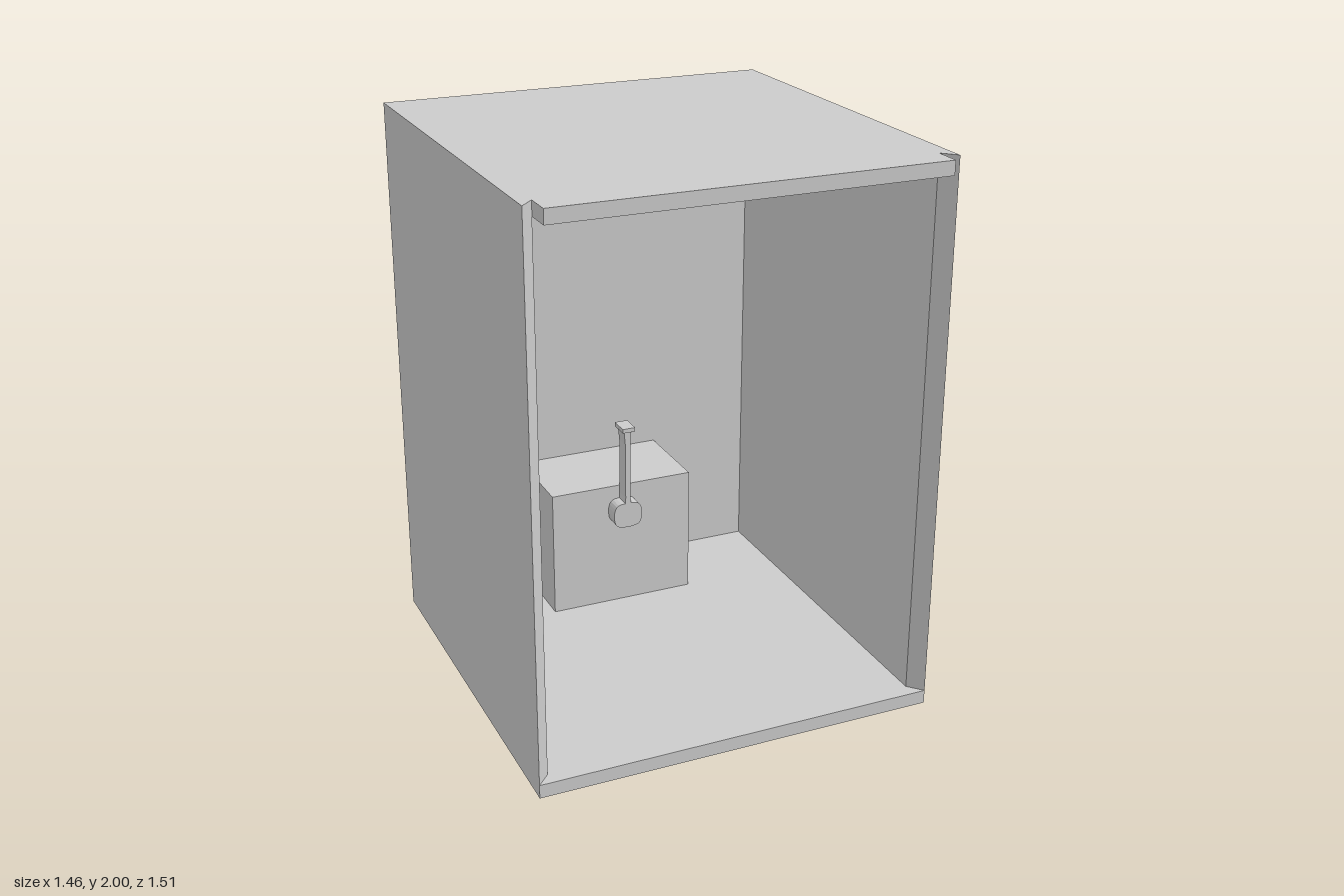
import * as THREE from 'three';

const material = new THREE.MeshStandardMaterial({ color: 0xcccccc, flatShading: true });

function addMesh(group, name, geometry) {
  const mesh = new THREE.Mesh(geometry, material);
  mesh.name = name;
  group.add(mesh);
  return mesh;
}

// Box given by its minimum and maximum corners
function addBox(group, name, [x0, y0, z0], [x1, y1, z1]) {
  const mesh = addMesh(group, name, new THREE.BoxGeometry(x1 - x0, y1 - y0, z1 - z0));
  mesh.position.set((x0 + x1) / 2, (y0 + y1) / 2, (z0 + z1) / 2);
}

const W = 0.73, IN = 0.683, BACK = -0.755, FRONT = 0.707, T = 0.05;

export function createModel() {
  const model = new THREE.Group();
  model.name = 'openRoom';

  // Shell: floor, back wall and a roof that overhangs the opening
  addBox(model, 'floor', [-W, 0, BACK], [W, T, FRONT]);
  addBox(model, 'backWall', [-IN, T, BACK], [IN, 2 - T, BACK + T]);
  addBox(model, 'roof', [-IN, 2 - T, BACK], [IN, 2, 0.755]);

  // Side walls with mitred front edges
  for (const [name, s] of [['leftWall', 1], ['rightWall', -1]]) {
    const plan = new THREE.Shape([
      new THREE.Vector2(s * W, -BACK),
      new THREE.Vector2(s * W, -FRONT),
      new THREE.Vector2(s * IN, -FRONT + T),
      new THREE.Vector2(s * IN, -BACK),
    ]);
    const wall = new THREE.ExtrudeGeometry(plan, { depth: 2 - T, bevelEnabled: false });
    wall.rotateX(-Math.PI / 2).translate(0, T, 0);
    addMesh(model, name, wall);
  }

  // Block standing against the back wall
  addBox(model, 'block', [-0.275, T, BACK + T], [0.29, 0.54, -0.36]);

  // Long-necked ornament on the front of the block
  const ornament = new THREE.Group();
  ornament.name = 'ornament';
  ornament.position.set(0.009, 0, -0.36);
  model.add(ornament);

  const outline = new THREE.Shape();
  outline.moveTo(0, 0.386);
  outline.lineTo(0.03, 0.39);
  outline.bezierCurveTo(0.05, 0.393, 0.057, 0.41, 0.057, 0.438);
  outline.bezierCurveTo(0.057, 0.475, 0.045, 0.487, 0.012, 0.487);
  outline.lineTo(0.01, 0.51);
  outline.lineTo(0.01, 0.73);
  outline.lineTo(0.015, 0.785);
  outline.lineTo(-0.015, 0.785);
  outline.lineTo(-0.01, 0.73);
  outline.lineTo(-0.01, 0.51);
  outline.lineTo(-0.012, 0.487);
  outline.bezierCurveTo(-0.045, 0.487, -0.057, 0.475, -0.057, 0.438);
  outline.bezierCurveTo(-0.057, 0.41, -0.05, 0.393, -0.03, 0.39);
  outline.closePath();
  addMesh(ornament, 'bodyAndNeck',
    new THREE.ExtrudeGeometry(outline, { depth: 0.06, bevelEnabled: false, curveSegments: 6 }));
  addBox(ornament, 'cap', [-0.025, 0.785, -0.005], [0.025, 0.801, 0.073]);

  return model;
}
